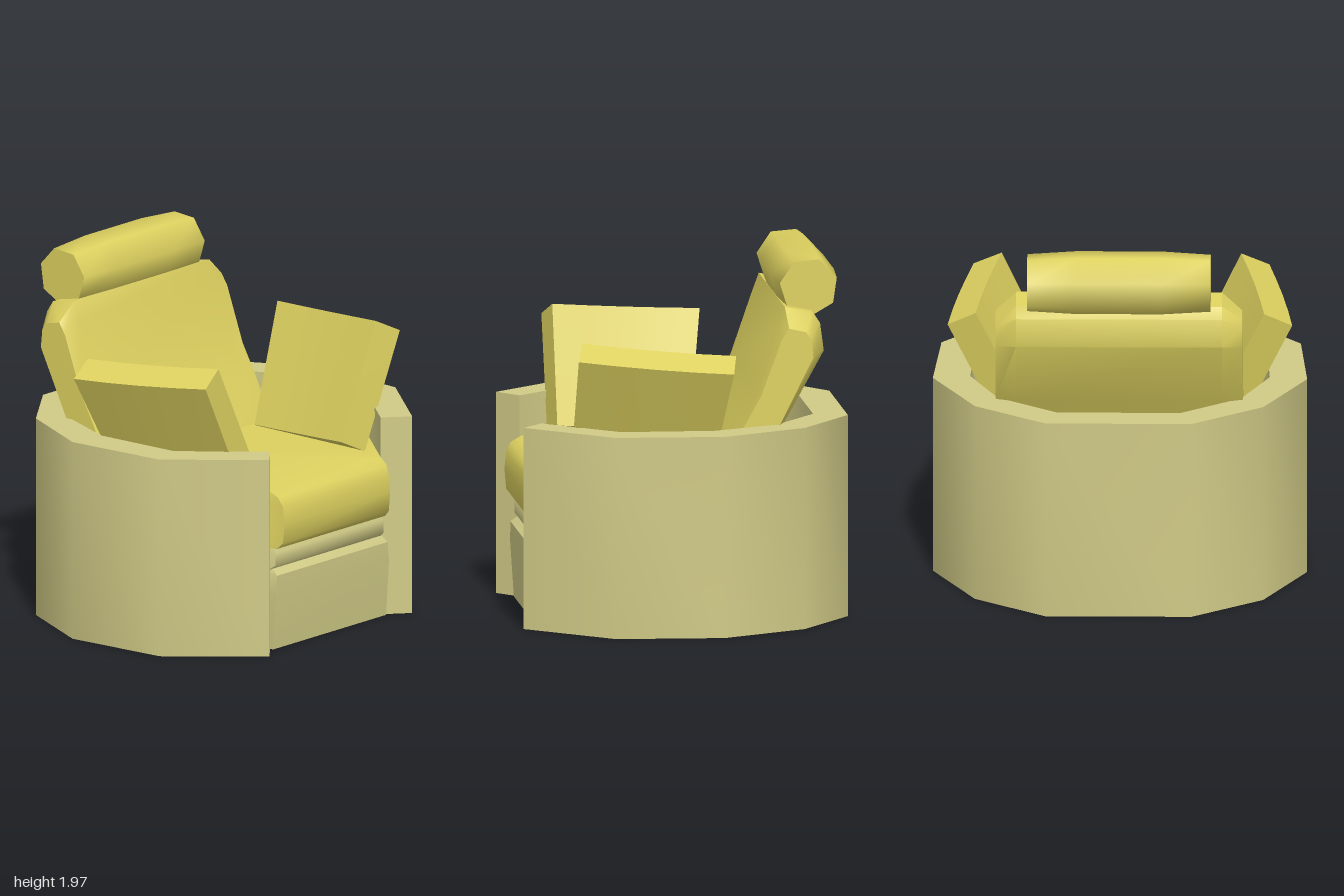
import * as THREE from 'three';
import { toCreasedNormals } from 'three/addons/utils/BufferGeometryUtils.js';

// Skin a closed solid over rings of equal point count, with fan caps at both ends
function loft(rings, crease) {
  const n = rings[0].length;
  const points = rings.flat();
  const index = [];
  for (let r = 0; r < rings.length - 1; r++) {
    for (let i = 0; i < n; i++) {
      const a = r * n + i, b = r * n + (i + 1) % n;
      index.push(a, b, b + n, a, b + n, a + n);
    }
  }
  [0, rings.length - 1].forEach((r) => {
    const centre = new THREE.Vector3();
    rings[r].forEach((p) => centre.addScaledVector(p, 1 / n));
    const c = points.push(centre) - 1;
    for (let i = 0; i < n; i++) {
      const a = r * n + i, b = r * n + (i + 1) % n;
      if (r === 0) index.push(c, b, a);
      else index.push(c, a, b);
    }
  });
  // Turn the faces outward if the enclosed volume is negative
  let volume = 0;
  for (let i = 0; i < index.length; i += 3) {
    volume += points[index[i]].dot(points[index[i + 1]].clone().cross(points[index[i + 2]]));
  }
  if (volume < 0) index.reverse();
  const geometry = new THREE.BufferGeometry().setFromPoints(points);
  geometry.setIndex(index);
  return toCreasedNormals(geometry, crease);
}

// Close a right-hand outline with its mirrored left half
const mirrored = (half) => [...half, ...half.map(([x, z]) => [-x, z]).reverse()];

// Horizontal section of the upholstery inside the shell, with its own front edge
function insideRing(y, frontX, frontZ) {
  const half = [[frontX, frontZ], [0.46, 0.76], [0.61, 0.61], [0.8, 0.36], [0.82, -0.12], [0.67, -0.48], [0.34, -0.74]];
  return mirrored(half).map(([x, z]) => new THREE.Vector3(x, y, z));
}

export function createModel() {
  const shellColor = new THREE.MeshStandardMaterial({ color: 0xd0ca86 });
  shellColor.name = 'pale olive';
  const cushionColor = new THREE.MeshStandardMaterial({ color: 0xdcd05f });
  cushionColor.name = 'yellow';

  const model = new THREE.Group();
  model.name = 'armchair';
  const add = (name, geometry, material) => {
    const mesh = new THREE.Mesh(geometry, material);
    mesh.name = name;
    model.add(mesh);
  };

  // Wraparound shell, open at the front
  const outer = [[0.58, 0.88], [0.96, 0.43], [1, -0.15], [0.77, -0.61], [0.39, -0.89]];
  const inner = [[0.45, 0.77], [0.78, 0.38], [0.8, -0.12], [0.65, -0.47], [0.33, -0.71]];
  const plan = [...mirrored(outer), ...mirrored(inner).reverse()];
  const shape = new THREE.Shape(plan.map(([x, z]) => new THREE.Vector2(x, -z)));
  const shell = new THREE.ExtrudeGeometry(shape, { depth: 1.09, bevelEnabled: false });
  shell.rotateX(-Math.PI / 2);
  add('shell', toCreasedNormals(shell, 0.85), shellColor);

  // Base panel and the narrow rail above it
  add('base', loft([
    insideRing(0, 0.46, 0.8), insideRing(0.3, 0.46, 0.82),
    insideRing(0.41, 0.45, 0.82), insideRing(0.44, 0.44, 0.78),
  ], 0.6), shellColor);
  add('rail', loft([
    insideRing(0.43, 0.44, 0.77), insideRing(0.46, 0.44, 0.8),
    insideRing(0.53, 0.44, 0.8), insideRing(0.57, 0.44, 0.77),
  ], 0.9), shellColor);

  // Seat cushion with a rolled front
  add('seatCushion', loft([
    insideRing(0.555, 0.44, 0.81), insideRing(0.59, 0.43, 0.845), insideRing(0.7, 0.43, 0.855),
    insideRing(0.79, 0.43, 0.845), insideRing(0.84, 0.44, 0.82), insideRing(0.87, 0.45, 0.765),
  ], 0.8), cushionColor);

  // Reclined back cushion, chamfered at its two ends: [z, y] profiles
  const backMiddle = [[-0.1, 0.7], [-0.29, 1.09], [-0.38, 1.25], [-0.49, 1.6], [-0.53, 1.71],
    [-0.68, 1.68], [-0.72, 1.62], [-0.74, 1.47], [-0.53, 1.09], [-0.32, 0.7]];
  const backEnd = [[-0.11, 0.7], [-0.3, 1.09], [-0.39, 1.25], [-0.5, 1.55], [-0.54, 1.61],
    [-0.63, 1.59], [-0.66, 1.55], [-0.67, 1.45], [-0.49, 1.09], [-0.3, 0.7]];
  const backRing = (x, profile) => profile.map(([z, y]) => new THREE.Vector3(x, y, z));
  add('backCushion', loft([
    backRing(-0.66, backEnd), backRing(-0.55, backMiddle),
    backRing(0.55, backMiddle), backRing(0.66, backEnd),
  ], 0.7), cushionColor);

  // Seven-sided headrest roll, fuller in the middle
  const rollRing = ([x, r]) => Array.from({ length: 7 }, (_, i) => {
    const a = THREE.MathUtils.degToRad(21.2) + i * Math.PI * 2 / 7;
    return new THREE.Vector3(x, 1.806 + r * Math.cos(a), -0.667 - r * Math.sin(a));
  });
  add('headrest', loft([[-0.49, 0.158], [-0.23, 0.175], [0.23, 0.175], [0.49, 0.158]].map(rollRing), 1), cushionColor);

  // Tilted arm pads, bowing outward towards the rear
  // Section corners: [x, y, front z, rear z]
  const padSection = [[0.64, 1.55, 0.57, -0.24], [0.79, 1.475, 0.61, -0.21],
    [0.5, 0.865, 0.615, -0.12], [0.35, 0.94, 0.58, -0.15]];
  const bow = [0, 0.046, 0.086, 0.119, 0.145];
  for (const side of [1, -1]) {
    const rings = bow.map((offset, i) => padSection.map(([x, y, front, rear]) => new THREE.Vector3(
      side * (x + 0.9 * offset), y - 0.43 * offset, THREE.MathUtils.lerp(front, rear, i / 4))));
    add(side > 0 ? 'leftArmPad' : 'rightArmPad', loft(rings, 0.5), cushionColor);
  }

  return model;
}
